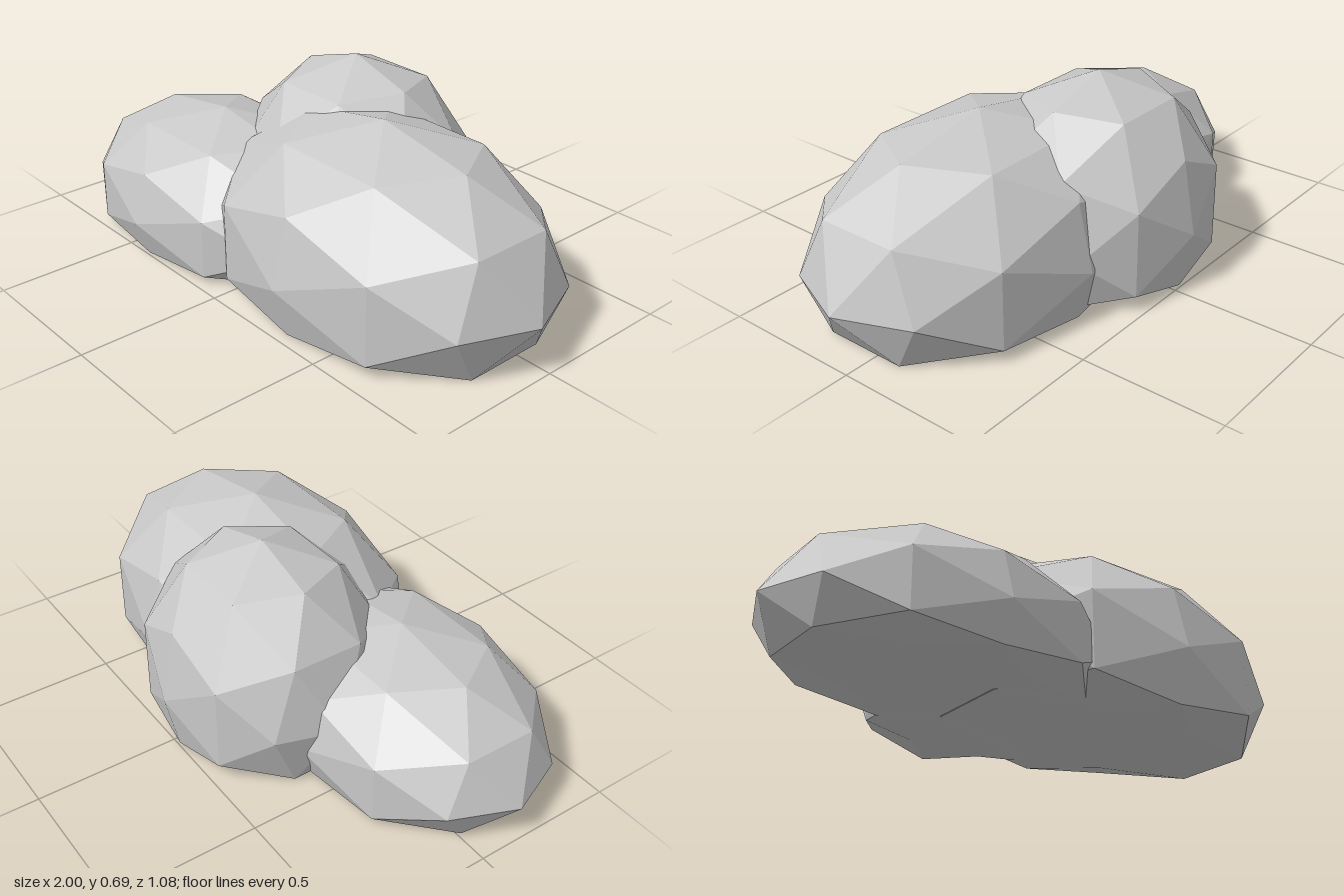
import * as THREE from 'three';

// A faceted boulder: a stretched icosphere with its underside pressed flat.
function boulder(name, material, [cx, cy, cz], [rx, ry, rz], floor) {
  const geometry = new THREE.IcosahedronGeometry(1, 1);
  const pos = geometry.attributes.position;
  const p = new THREE.Vector3();
  for (let i = 0; i < pos.count; i++) {
    p.fromBufferAttribute(pos, i);
    // The front and back tips are slightly blunted
    if (Math.abs(p.z) > 0.99) p.multiplyScalar(0.965);
    pos.setXYZ(i, cx + p.x * rx, Math.max(floor, cy + p.y * ry), cz + p.z * rz);
  }
  geometry.computeVertexNormals();
  const mesh = new THREE.Mesh(geometry, material);
  mesh.name = name;
  return mesh;
}

export function createModel() {
  const stone = new THREE.MeshStandardMaterial({ color: 0xc8c8c8, flatShading: true });
  stone.name = 'stone grey';

  const group = new THREE.Group();
  group.name = 'rockPile';
  group.add(
    boulder('largeLeftRock', stone, [0.325, 0.18, 0.055], [0.675, 0.44, 0.472], 0),
    boulder('lowRightRock', stone, [-0.395, 0.13, 0.14], [0.605, 0.33, 0.413], 0.002),
    boulder('tallBackRock', stone, [-0.03, 0.21, -0.15], [0.45, 0.48, 0.405], 0.004),
  );
  return group;
}
